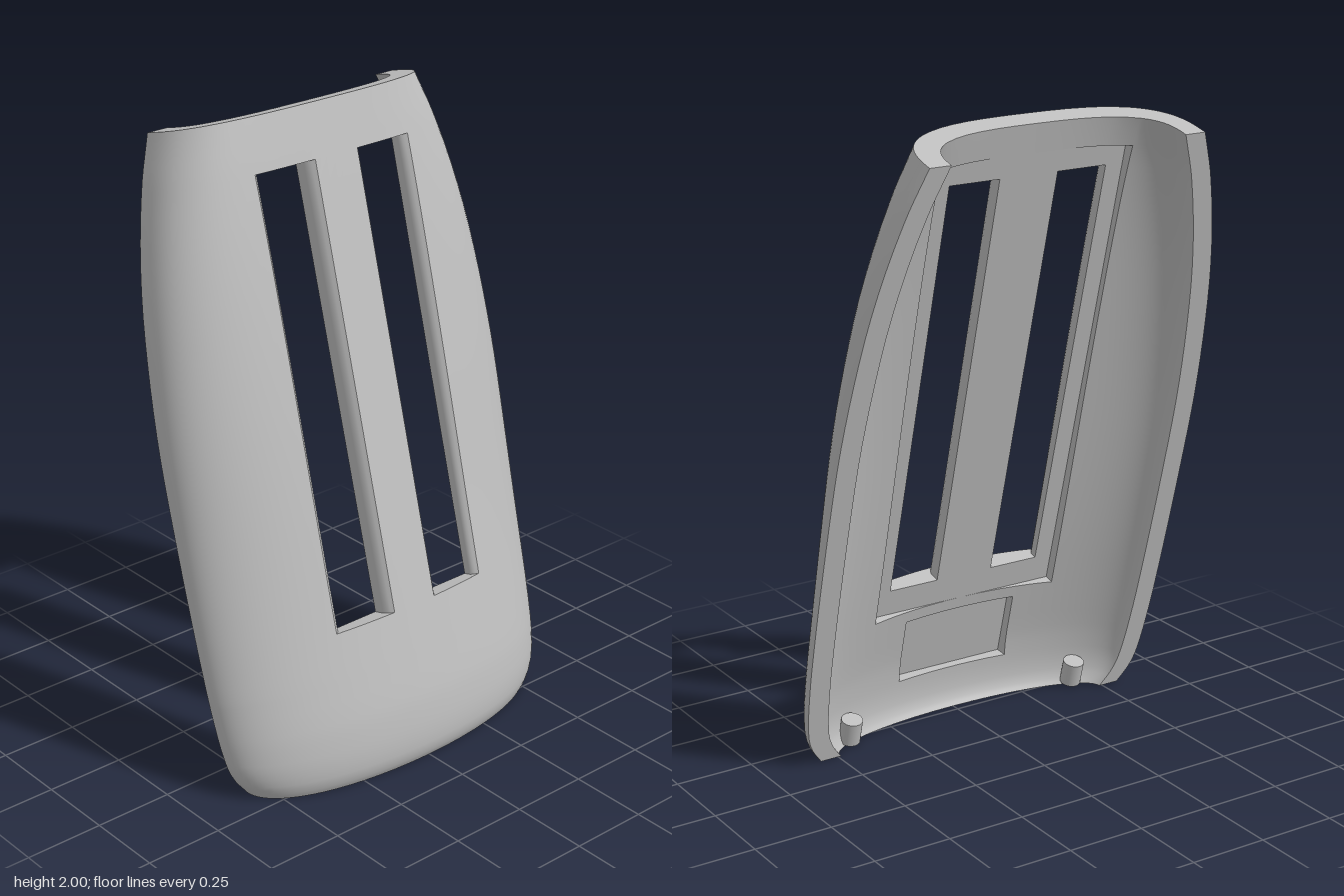
import * as THREE from 'three';

// Local frame: x across, y along the shell, z outward; the whole shell leans back.
const LEAN = THREE.MathUtils.degToRad(15), TOP = 2.003, WALL = 0.07;
const PANEL = { x: 0.33, y0: 0.36, y1: 1.91, z: 0.18 };
const RECESS = { x: 0.2, y0: 0.12, y1: 0.32, z: 0.2 };
const SLOT = { x0: 0.08, x1: 0.29, y0: 0.45, y1: 1.84 };

// Half width and depth along the shell
const WIDTH = [[0, 0.56], [0.05, 0.595], [0.1, 0.614], [0.21, 0.628], [0.41, 0.637], [0.83, 0.64],
  [1.14, 0.634], [1.45, 0.607], [1.66, 0.572], [1.86, 0.52], [TOP, 0.467]];
const DEPTH = [[0, 0.193], [0.02, 0.21], [0.05, 0.225], [0.1, 0.238], [0.2, 0.25], [TOP, 0.25]];

// Smooth interpolation through a short profile
function sample(p, v) {
  let i = 0;
  while (i < p.length - 2 && v > p[i + 1][0]) i++;
  const slope = (k) => {
    const a = p[Math.max(k - 1, 0)], b = p[Math.min(k + 1, p.length - 1)];
    return (b[1] - a[1]) / (b[0] - a[0]);
  };
  const h = p[i + 1][0] - p[i][0], t = (v - p[i][0]) / h;
  if (p[i][1] === p[i + 1][1]) return p[i][1];
  const t2 = t * t, t3 = t2 * t;
  return (2 * t3 - 3 * t2 + 1) * p[i][1] + (t3 - 2 * t2 + t) * h * slope(i)
    + (3 * t2 - 2 * t3) * p[i + 1][1] + (t3 - t2) * h * slope(i + 1);
}

// Shears the lowest rows so that the bottom rim is level with the ground
const place = (x, v, w) => [x, v - Math.tan(LEAN) * w * Math.max(0, 1 - v / 0.3), w];

// Superelliptic cross-section; |u| <= PANEL.x is x itself, beyond that it runs round the side
function skin(inset) {
  return (u, v) => {
    const a = sample(WIDTH, v) - inset, d = sample(DEPTH, v) - inset;
    const n = 2.05 + 0.85 * THREE.MathUtils.smoothstep(v, 0.4, TOP);
    const m = Math.abs(u);
    if (m <= PANEL.x) return place(u, v, d * Math.pow(1 - Math.pow(m / a, n), 1 / n));
    const phi0 = Math.acos(Math.pow(PANEL.x / a, n / 2));
    const phi = phi0 * Math.pow(Math.max(0, 1 - (m - PANEL.x)), 1.3);
    return place(Math.sign(u) * a * Math.pow(Math.cos(phi), 2 / n), v, d * Math.pow(Math.sin(phi), 2 / n));
  };
}
const outer = skin(0), inner = skin(WALL);

// Grid surface over us and vs, leaving out cells that skip() names
function grid(fn, us, vs, skip = () => false, flip = false) {
  const pos = [], idx = [], n = us.length;
  for (const v of vs) for (const u of us) pos.push(...fn(u, v));
  for (let j = 0; j < vs.length - 1; j++) {
    for (let i = 0; i < n - 1; i++) {
      if (skip((us[i] + us[i + 1]) / 2, (vs[j] + vs[j + 1]) / 2)) continue;
      const a = j * n + i, b = a + 1, c = b + n, d = a + n;
      if (flip) idx.push(a, c, b, a, d, c);
      else idx.push(a, b, c, a, c, d);
    }
  }
  const g = new THREE.BufferGeometry();
  g.setAttribute('position', new THREE.Float32BufferAttribute(pos, 3));
  g.setIndex(idx);
  g.computeVertexNormals();
  return g;
}

export function createModel() {
  const model = new THREE.Group();
  model.name = 'curvedCover';
  const shell = new THREE.Group();
  shell.name = 'shell';
  shell.rotation.x = -LEAN;
  shell.position.z = 0.15;
  model.add(shell);
  const grey = new THREE.MeshStandardMaterial({ color: 0xbfbfbf, side: THREE.DoubleSide });
  grey.name = 'grey';
  const add = (name, geometry) => {
    const mesh = new THREE.Mesh(geometry, grey);
    mesh.name = name;
    shell.add(mesh);
    return mesh;
  };

  // Columns and rows shared by both skins
  const half = [0.04, 0.08, 0.14, 0.2, 0.25, 0.29, PANEL.x];
  for (let i = 1; i <= 18; i++) half.push(PANEL.x + i / 18);
  const cols = [...half.map((u) => -u).reverse(), 0, ...half];
  const rows = [0, 0.01, 0.02, 0.035, 0.05, 0.075, 0.1, 0.12, 0.16, 0.2, 0.25, 0.3, 0.32, 0.36, 0.45];
  for (let i = 1; i <= 20; i++) rows.push(SLOT.y0 + (SLOT.y1 - SLOT.y0) * i / 20);
  rows.push(1.875, PANEL.y1, 1.96, TOP);
  const between = (a, b) => rows.filter((v) => v >= a - 1e-6 && v <= b + 1e-6);

  const inSlot = (u, v) => Math.abs(u) > SLOT.x0 && Math.abs(u) < SLOT.x1 && v > SLOT.y0 && v < SLOT.y1;
  const inBox = (b, u, v) => Math.abs(u) < b.x && v > b.y0 && v < b.y1;
  add('outerSkin', grid(outer, cols, rows, inSlot));
  add('innerSkin', grid(inner, cols, rows, (u, v) => inBox(PANEL, u, v) || inBox(RECESS, u, v), true));

  // Rims joining the two skins
  const edge = cols[cols.length - 1];
  const mix = (s, u, v) => (s ? inner : outer)(u, v);
  add('topRim', grid((u, s) => mix(s, u, TOP), cols, [0, 1], undefined, true));
  add('bottomRim', grid((u, s) => mix(s, u, 0), cols, [0, 1]));
  for (const side of [-1, 1]) {
    add('sideRim', grid((s, v) => mix(s, side * edge, v), [0, 1], rows, undefined, side > 0));
  }

  // Flat pockets on the inside: floor plus four walls
  const pocket = (name, b, xs, vs, skip) => {
    add(name + 'Floor', grid((x, v) => place(x, v, b.z), xs, vs, skip, true));
    const wall = (s, x, v) => (s ? place(x, v, b.z) : inner(x, v));
    const across = cols.filter((u) => Math.abs(u) <= b.x);
    for (const [y, flip] of [[b.y0, true], [b.y1, false]]) {
      add(name + 'EndWall', grid((x, s) => wall(s, x, y), across, [0, 1], undefined, flip));
    }
    for (const side of [-1, 1]) {
      add(name + 'SideWall', grid((s, v) => wall(s, side * b.x, v), [0, 1], between(b.y0, b.y1), undefined, side < 0));
    }
  };
  pocket('panel', PANEL, [-0.33, -0.27, -0.1, 0.1, 0.27, 0.33],
    [PANEL.y0, SLOT.y0, SLOT.y1, PANEL.y1], inSlot);
  pocket('recess', RECESS, [-0.2, 0.2], between(RECESS.y0, RECESS.y1));

  // Slot walls: rounded lips at the front, flat ends
  const levels = [[0, 0], [0.003, 0.05], [0.008, 0.13], [0.014, 0.24], [0.02, 0.45], [0.02, 1]];
  const ks = levels.map((_, k) => k), ts = [0, 0.25, 0.5, 0.75, 1];
  for (const side of [-1, 1]) {
    const at = (t, k, v) => {
      const [inset, deep] = levels[k];
      const x = side * THREE.MathUtils.lerp(SLOT.x0 + inset, SLOT.x1 - inset, t);
      const front = outer(side * THREE.MathUtils.lerp(SLOT.x0, SLOT.x1, t), v)[2];
      return [x, v, THREE.MathUtils.lerp(front, PANEL.z, deep)];
    };
    for (const t of [0, 1]) {
      add('slotSide', grid((k, v) => at(t, k, v), ks, between(SLOT.y0, SLOT.y1), undefined, (t === 1) === (side > 0)));
    }
    for (const y of [SLOT.y0, SLOT.y1]) {
      add('slotEnd', grid((t, k) => at(t, k, y), ts, ks, undefined, (y === SLOT.y0) === (side > 0)));
    }
    // Small locating peg near the bottom corner
    const peg = add('peg', new THREE.CylinderGeometry(0.034, 0.034, 0.08, 24));
    peg.position.set(side * 0.42, 0.032, 0.07);
  }
  return model;
}
